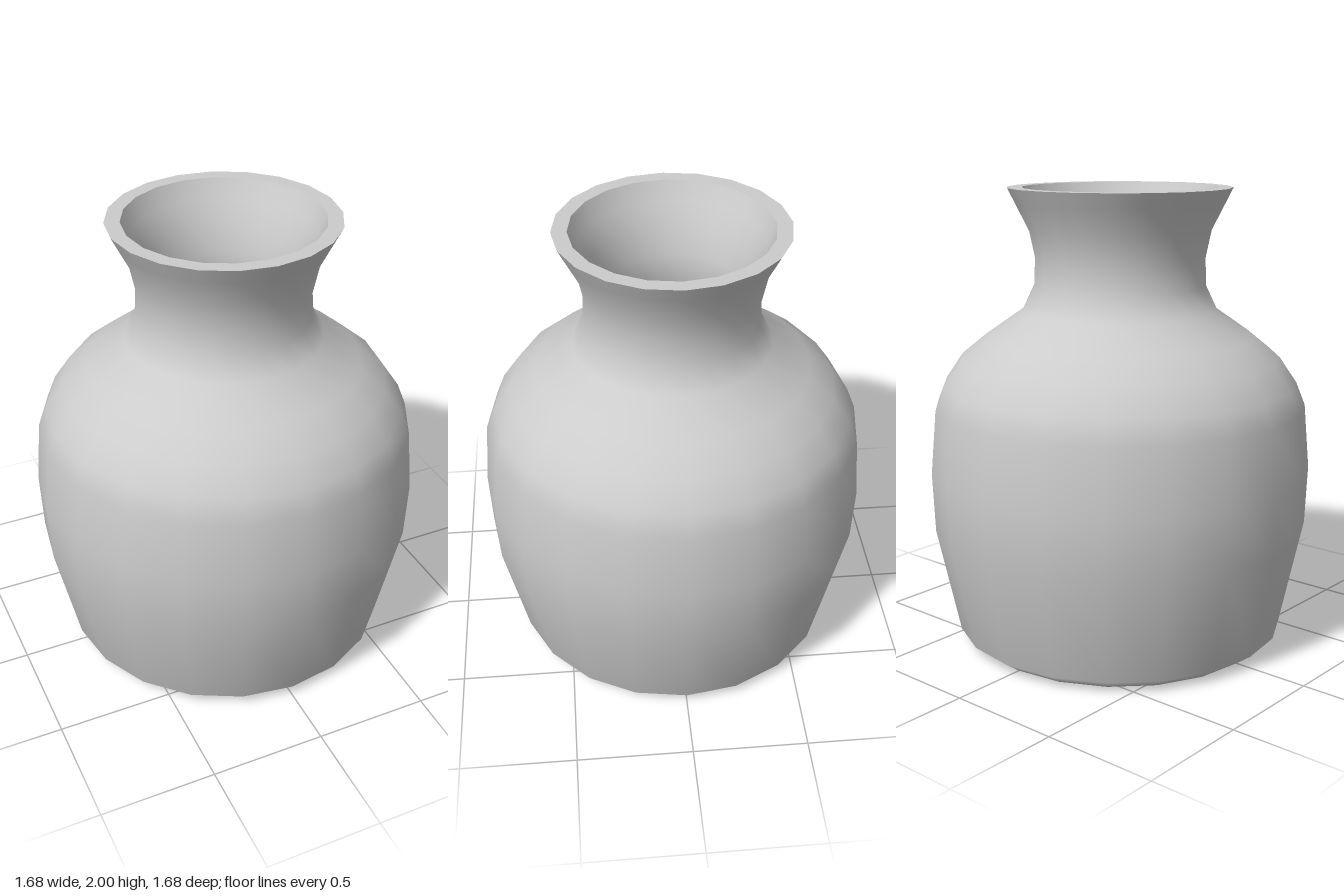
import * as THREE from 'three';

// Radius/height profiles, revolved in 20 sides
const OUTSIDE = [
  [0, 0], [0.66, 0], [0.73, 0.05], [0.83, 0.52], [0.84, 0.78], [0.815, 1.06],
  [0.775, 1.16], [0.7, 1.27], [0.59, 1.36], [0.425, 1.475], [0.375, 1.58],
  [0.37, 1.7], [0.395, 1.82], [0.45, 1.93], [0.485, 2],
];
const INSIDE = [
  [0.42, 2], [0.385, 1.92], [0.33, 1.82], [0.305, 1.7], [0.285, 1.57],
  [0.36, 1.43], [0.54, 1.3], [0.64, 1.22], [0.71, 1.13], [0.75, 1.04],
  [0.77, 0.78], [0.76, 0.53], [0.67, 0.09], [0.62, 0.07], [0, 0.07],
];

function lathe(name, profile, material) {
  const points = profile.map(([r, y]) => new THREE.Vector2(r, y));
  const mesh = new THREE.Mesh(new THREE.LatheGeometry(points, 20), material);
  mesh.name = name;
  return mesh;
}

export function createModel() {
  const group = new THREE.Group();
  group.name = 'vase';
  const material = new THREE.MeshStandardMaterial({ color: 0xcccccc });

  // Outer body from the base centre up to the flared lip
  group.add(lathe('outerBody', OUTSIDE, material));
  // Flat rim joining the outer and inner walls
  group.add(lathe('rim', [OUTSIDE[OUTSIDE.length - 1], INSIDE[0]], material));
  // Inner wall from the lip down to the floor
  group.add(lathe('innerWall', INSIDE, material));
  return group;
}
